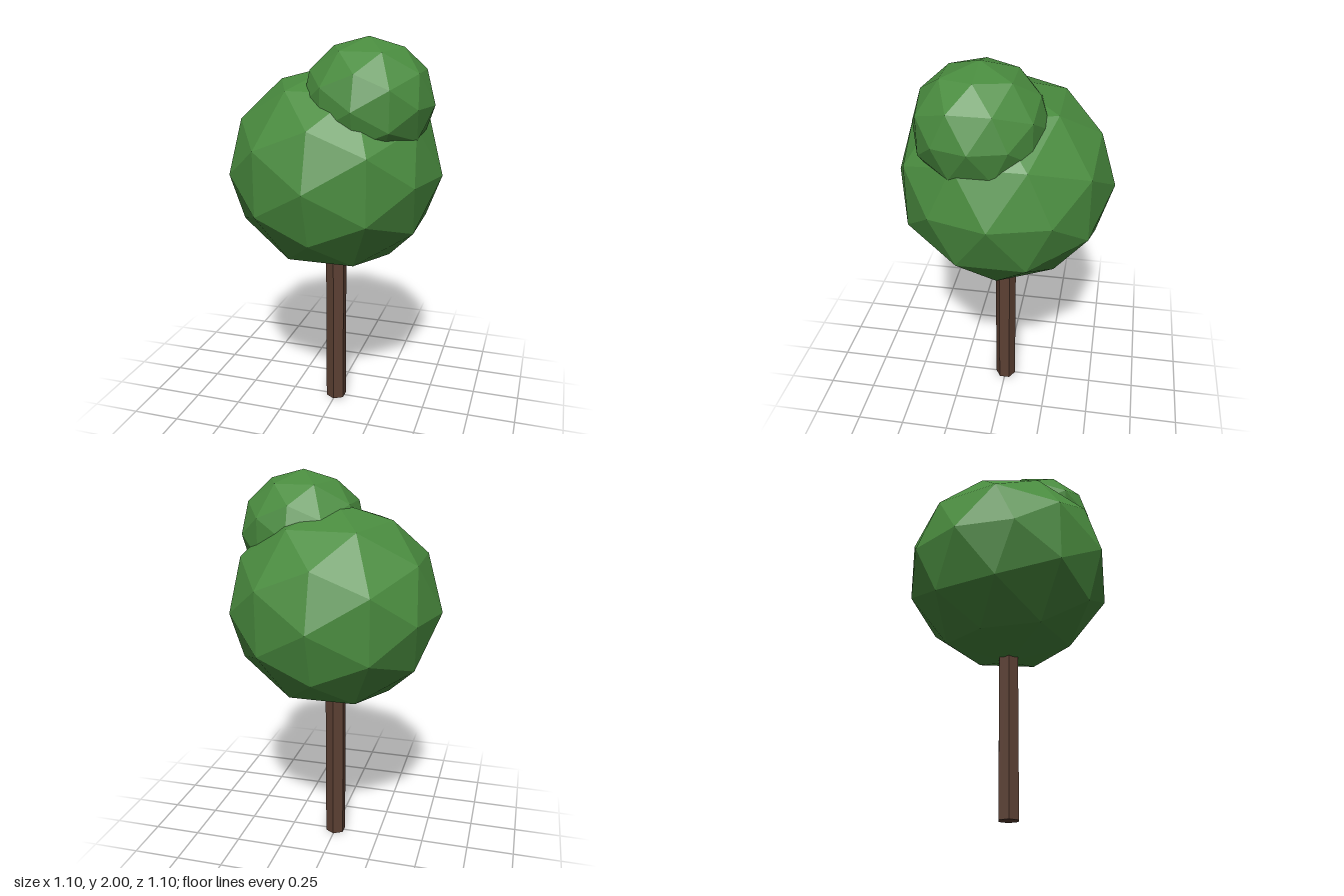
import * as THREE from 'three';

const bark = new THREE.MeshStandardMaterial({ color: 0x5c4033, flatShading: true });
const leaves = new THREE.MeshStandardMaterial({ color: 0x4a8c3f, flatShading: true });

// Faceted ball of leaves, slightly squashed in height
function foliage(name, radius, x, y, z) {
  const geometry = new THREE.IcosahedronGeometry(radius, 1);
  geometry.scale(1, 0.95, 1);
  const mesh = new THREE.Mesh(geometry, leaves);
  mesh.name = name;
  mesh.position.set(x, y, z);
  return mesh;
}

export function createModel() {
  const tree = new THREE.Group();
  tree.name = 'tree';

  // Six-sided trunk, its top hidden inside the crown
  const trunkHeight = 0.9;
  const trunk = new THREE.Mesh(new THREE.CylinderGeometry(0.056, 0.056, trunkHeight, 6), bark);
  trunk.name = 'trunk';
  trunk.position.y = trunkHeight / 2;

  tree.add(
    trunk,
    foliage('mainCrown', 0.55, 0, 1.331, 0),
    foliage('upperCrown', 0.326, 0.188, 1.69, 0.085),
  );
  return tree;
}
